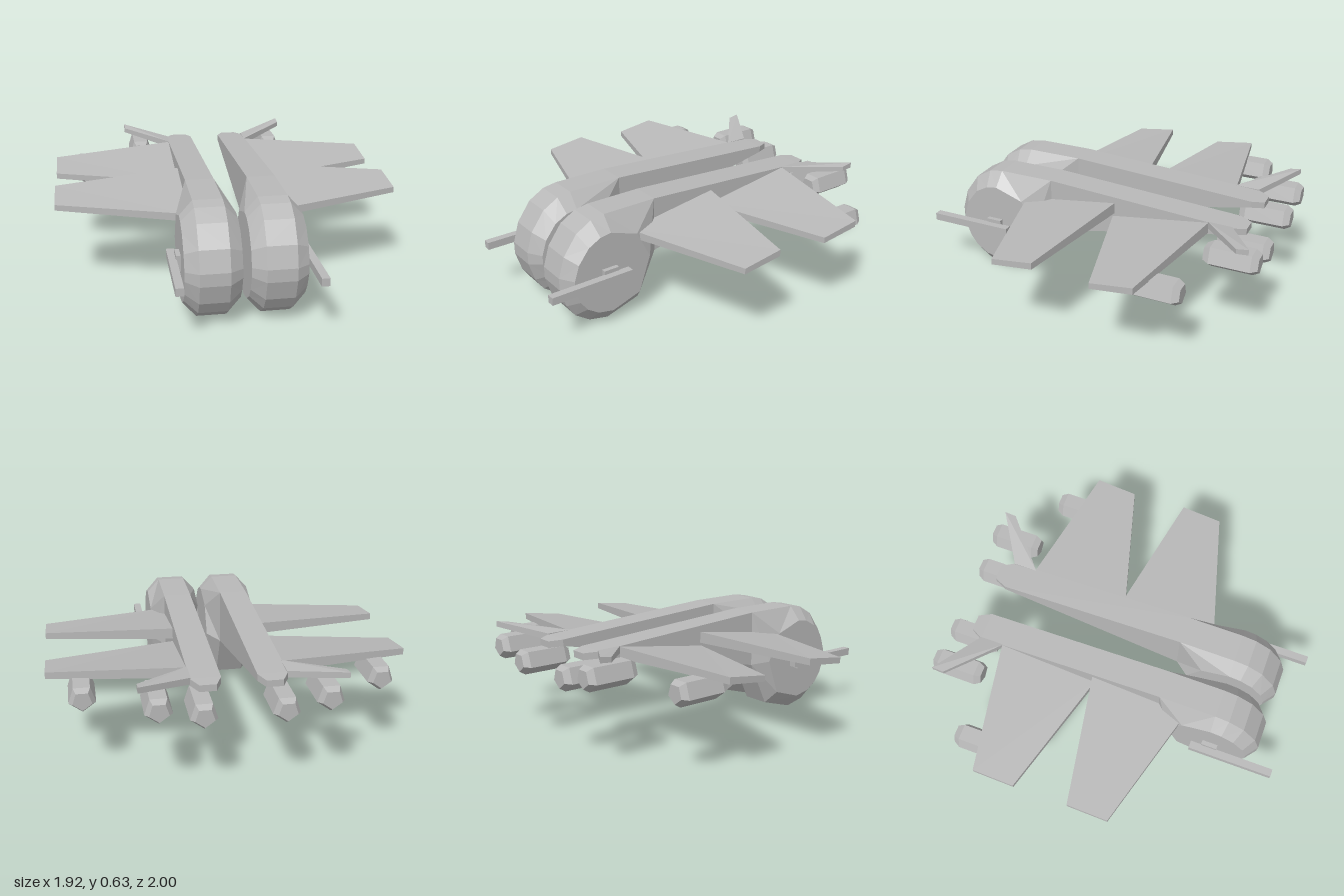
import * as THREE from 'three';

// Lofts matching [x, y, z] rings into a closed, faceted solid facing outwards
function loft(rings, side) {
  const n = rings[0].length, last = (rings.length - 1) * n;
  const pts = rings.flat().map(([x, y, z]) => [x * side, y, z]);
  let tris = [];
  for (let r = 0; r < rings.length - 1; r++) {
    for (let i = 0; i < n; i++) {
      const a = r * n + i, b = r * n + (i + 1) % n;
      tris.push([a, b, b + n], [a, b + n, a + n]);
    }
  }
  for (let i = 1; i < n - 1; i++) {
    tris.push([0, i + 1, i], [last, last + i, last + i + 1]);
  }
  // signed volume tells whether the winding must be reversed
  const v = pts.map((p) => new THREE.Vector3(...p));
  const volume = tris.reduce((sum, [a, b, c]) => sum + v[a].dot(v[b].clone().cross(v[c])), 0);
  if (volume < 0) tris = tris.map(([a, b, c]) => [a, c, b]);
  const geo = new THREE.BufferGeometry();
  geo.setAttribute('position', new THREE.Float32BufferAttribute(pts.flat(), 3));
  geo.setIndex(tris.flat());
  const flat = geo.toNonIndexed();
  flat.computeVertexNormals();
  return flat;
}

// Four-cornered ring across z, for the tail boom
const boomRing = (x0, x1, y0, y1, z) => [[x0, y0, z], [x1, y0, z], [x1, y1, z], [x0, y1, z]];

// Four-cornered ring at one x, for wings: leading and trailing [z, bottom, top]
const wingRing = (x, [zl, lb, lt], [zt, tb, tt]) =>
  [[x, lb, zl], [x, lt, zl], [x, tt, zt], [x, tb, zt]];

// Pentagonal engine with bevelled ends and a ridge underneath
function engineRings(x, y, zFront, zBack) {
  const ring = (r, z) => Array.from({ length: 5 }, (_, i) => {
    const a = -Math.PI / 2 + i * Math.PI * 2 / 5;
    return [x + r * Math.cos(a), y + r * Math.sin(a), z];
  });
  return [ring(0.052, zFront), ring(0.073, zFront - 0.035),
    ring(0.073, zBack + 0.035), ring(0.052, zBack)];
}

// Pod outline as [z, y]: rounded nose, then the angular back
const nose = [[0.6, 0.005], [0.715, 0.03], [0.8, 0.09], [0.85, 0.165], [0.885, 0.275],
  [0.885, 0.345], [0.85, 0.46], [0.77, 0.57], [0.68, 0.622], [0.6, 0.635]];
const podRim = [...nose, [0.28, 0.635], [0.28, 0.32], [0.4, 0.065]];
const podFace = [...nose.map(([z, y]) => [0.615 + (z - 0.615) * 0.8, 0.32 + (y - 0.32) * 0.75]),
  [0.44, 0.5], [0.36, 0.34], [0.43, 0.14]];

export function createModel() {
  const model = new THREE.Group();
  model.name = 'twinPodCraft';
  const hull = new THREE.MeshStandardMaterial({ color: 0xb8b8b8 });
  hull.name = 'hull grey';
  hull.flatShading = true;

  for (const side of [1, -1]) {
    const half = new THREE.Group();
    half.name = side > 0 ? 'leftHalf' : 'rightHalf';
    model.add(half);
    const add = (name, rings) => {
      const mesh = new THREE.Mesh(loft(rings, side), hull);
      mesh.name = name;
      half.add(mesh);
    };
    const addBox = (name, w, h, d, x, y, z) => {
      const mesh = new THREE.Mesh(new THREE.BoxGeometry(w, h, d), hull);
      mesh.name = name;
      mesh.position.set(x * side, y, z);
      half.add(mesh);
    };

    // Wheel-like front pod, bevelled on both flanks
    const slice = (x, outline) => outline.map(([z, y]) => [x, y, z]);
    add('pod', [slice(0.022, podFace), slice(0.092, podRim),
      slice(0.25, podRim), slice(0.32, podFace)]);

    // Tapering boom with a narrowed tip
    add('boom', [boomRing(0.092, 0.25, 0.32, 0.635, 0.28),
      boomRing(0.092, 0.25, 0.535, 0.572, -0.79),
      boomRing(0.125, 0.212, 0.53, 0.566, -0.86)]);

    // Two equal swept wings
    for (const [name, dz] of [['frontWing', 0], ['rearWing', -0.545]]) {
      add(name, [
        wingRing(0.25, [0.44 + dz, 0.453, 0.497], [-0.115 + dz, 0.515, 0.577]),
        wingRing(0.96, [0.24 + dz, 0.483, 0.515], [0.01 + dz, 0.51, 0.546]),
      ]);
    }

    // Small raised tail fin
    add('tailFin', [
      wingRing(0.245, [-0.655, 0.542, 0.58], [-0.79, 0.542, 0.578]),
      wingRing(0.52, [-0.895, 0.588, 0.615], [-0.96, 0.594, 0.625]),
    ]);

    // Three engines: beneath the boom, beneath the fin and beneath the rear wing
    add('innerEngine', engineRings(0.205, 0.457, -0.71, -1));
    add('middleEngine', engineRings(0.425, 0.503, -0.71, -1));
    add('outerEngine', engineRings(0.78, 0.457, -0.43, -0.72));

    // Side gun on its mount
    addBox('gunMount', 0.03, 0.09, 0.09, 0.33, 0.312, 0.62);
    addBox('gun', 0.043, 0.043, 0.486, 0.362, 0.314, 0.757);
  }
  return model;
}
